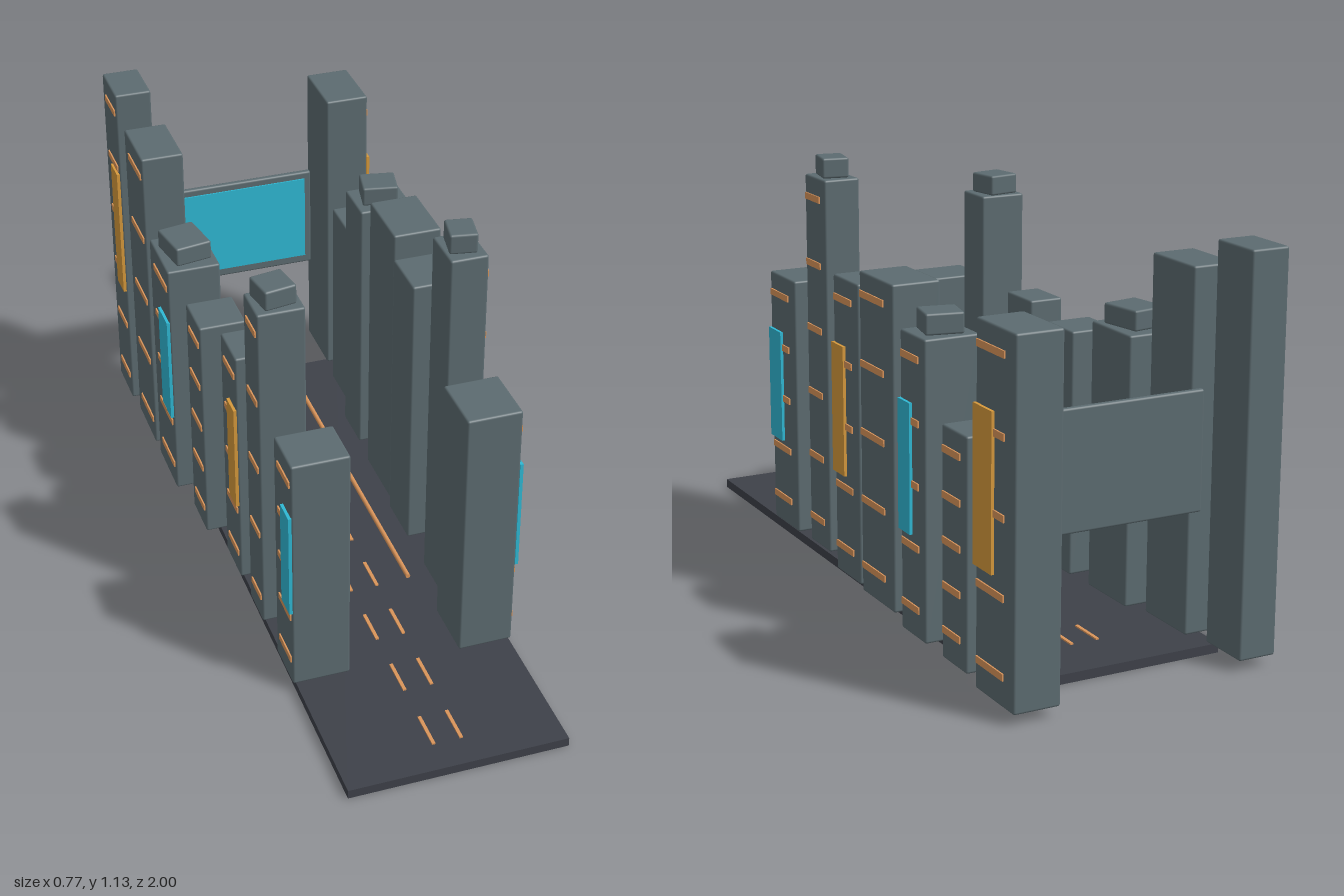
import * as THREE from 'three';
import { RoundedBoxGeometry } from 'three/addons/geometries/RoundedBoxGeometry.js';

const mat = (name, color) => {
  const m = new THREE.MeshStandardMaterial({ color });
  m.name = name;
  return m;
};

export function createModel() {
  const concrete = mat('blue grey concrete', 0x5c6b70);
  const asphalt = mat('dark asphalt', 0x3e4149);
  const orange = mat('orange light', 0xd9945a);
  const amber = mat('amber sign', 0xd6993c);
  const cyan = mat('cyan sign', 0x2fb8d4);

  const model = new THREE.Group();
  model.name = 'cityStreet';

  const add = (parent, name, geometry, material, x, y, z) => {
    const mesh = new THREE.Mesh(geometry, material);
    mesh.name = name;
    mesh.position.set(x, y, z);
    parent.add(mesh);
    return mesh;
  };
  const box = (w, h, d) => new THREE.BoxGeometry(w, h, d);
  const rounded = (w, h, d) => new RoundedBoxGeometry(w, h, d, 2, 0.006);

  // Road slab with two rows of dashes
  const road = new THREE.Group();
  road.name = 'road';
  model.add(road);
  add(road, 'roadSlab', box(0.588, 0.025, 1.83), asphalt, -0.007, 0.0125, 0.085);
  for (let i = 0; i < 8; i++) {
    for (const x of [-0.044, 0.03]) {
      add(road, 'laneDash', box(0.009, 0.005, 0.105), orange, x, 0.0265, -0.62 + i * 0.2115);
    }
  }

  // Thin glowing rail hovering over the street
  const rail = add(model, 'hoverRail', new THREE.CylinderGeometry(0.006, 0.006, 1.265, 12), orange, -0.007, 0.323, -0.023);
  rail.rotation.x = Math.PI / 2;

  // Tower: side sign (+1 / -1), x and z ranges, top height, options
  const BASE = 0.028;
  const tower = (side, x0, x1, z0, z1, top, { sign, cap } = {}) => {
    const g = new THREE.Group();
    g.name = side > 0 ? 'leftTower' : 'rightTower';
    model.add(g);
    const w = x1 - x0, d = z1 - z0, cx = (x0 + x1) / 2, cz = (z0 + z1) / 2;
    const outer = side > 0 ? x1 : x0;
    add(g, 'towerBody', rounded(w, top - BASE, d), concrete, cx, (top + BASE) / 2, cz);

    // Rows of light strips on the outer wall
    const rows = top > 1.03 ? 6 : 5;
    const first = 0.105, last = top - 0.058;
    for (let i = 0; i < rows; i++) {
      const y = first + (last - first) * i / (rows - 1);
      add(g, 'lightStrip', box(0.008, 0.018, d * 0.7), orange, outer, y, z1 - 0.008 - d * 0.35);
    }

    // Upright sign at the front edge of the outer wall
    if (sign) {
      const h = Math.min(0.42 * top, 0.395);
      add(g, 'wallSign', box(0.009, h, d * 0.48), sign, outer + side * 0.0035, 0.575 * top, z1 - d * 0.24);
    }

    // Turned roof block
    if (cap) {
      const [cw, cd, x, z, turn] = cap;
      add(g, 'roofBlock', rounded(cw, 0.055, cd), concrete, x, top + 0.0275, z).rotation.y = turn;
    }
  };

  tower(-1, -0.377, -0.273, -0.965, -0.815, 1.055, { sign: amber });
  tower(-1, -0.37, -0.25, -0.755, -0.565, 0.978);
  tower(-1, -0.37, -0.22, -0.515, -0.325, 0.755, { sign: cyan, cap: [0.105, 0.125, -0.295, -0.415, 0.17] });
  tower(-1, -0.345, -0.215, -0.235, -0.1, 0.705);
  tower(-1, -0.312, -0.215, -0.01, 0.125, 0.742, { sign: amber });
  tower(-1, -0.31, -0.183, 0.21, 0.325, 0.995, { cap: [0.088, 0.09, -0.248, 0.263, 0.17] });
  tower(-1, -0.31, -0.155, 0.45, 0.59, 0.72, { sign: cyan });

  tower(1, 0.25, 0.375, -1.0, -0.81, 0.935, { sign: amber });
  tower(1, 0.24, 0.357, -0.73, -0.6, 0.625);
  tower(1, 0.205, 0.357, -0.51, -0.375, 0.81, { sign: cyan, cap: [0.1, 0.09, 0.28, -0.443, -0.2] });
  tower(1, 0.197, 0.332, -0.28, -0.085, 0.897);
  tower(1, 0.182, 0.32, -0.047, 0.105, 0.85, { sign: amber });
  tower(1, 0.183, 0.285, 0.23, 0.36, 1.075, { cap: [0.073, 0.085, 0.234, 0.293, -0.18] });
  tower(1, 0.145, 0.293, 0.43, 0.6, 0.76, { sign: cyan });

  // Big screen closing the far end of the street
  const screen = new THREE.Group();
  screen.name = 'bigScreen';
  model.add(screen);
  add(screen, 'screenFrame', rounded(0.43, 0.31, 0.018), concrete, -0.007, 0.545, -0.848);
  add(screen, 'screenFace', box(0.39, 0.263, 0.006), cyan, -0.007, 0.548, -0.838);

  return model;
}
